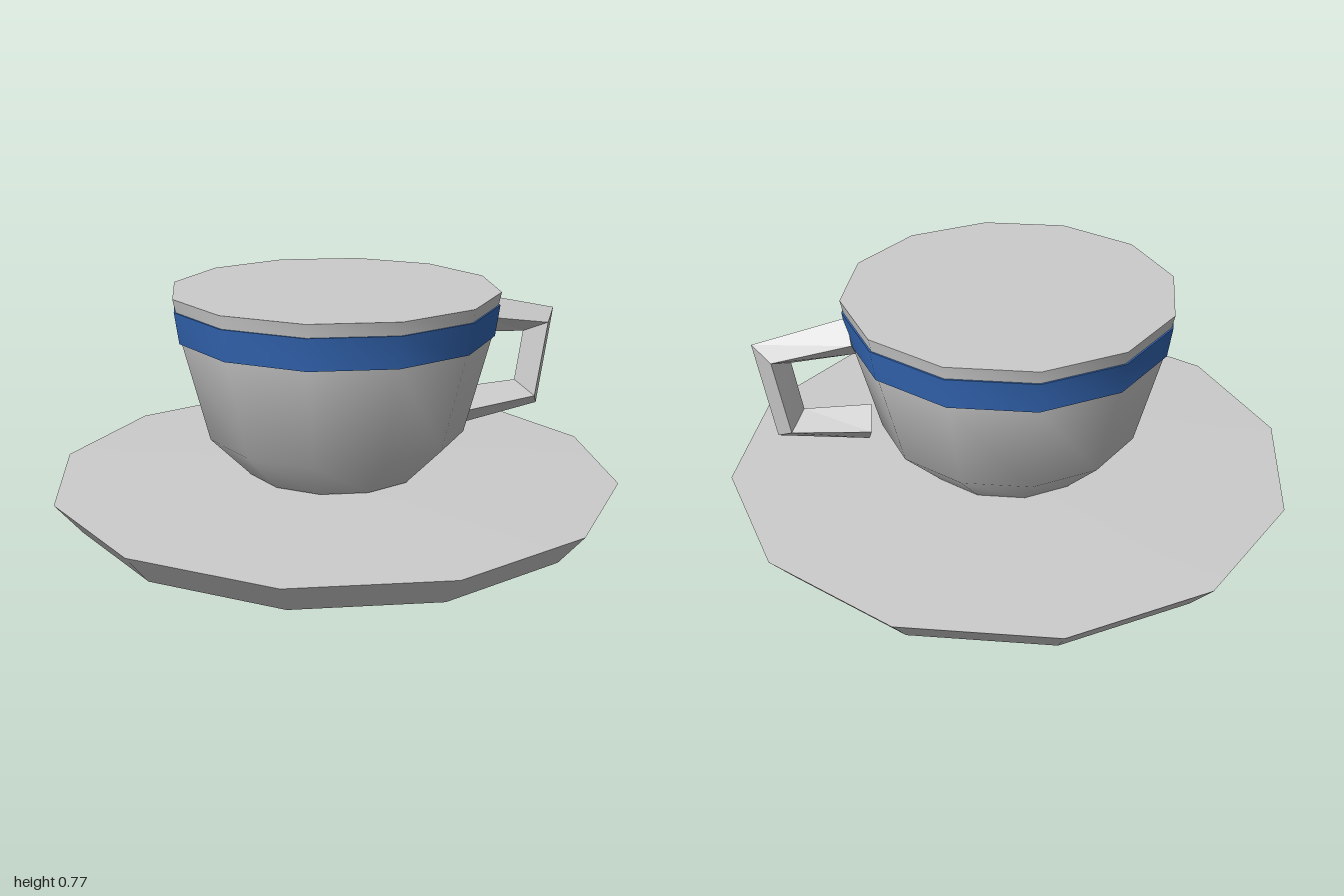
import * as THREE from 'three';
import { toCreasedNormals } from 'three/addons/utils/BufferGeometryUtils.js';

const china = new THREE.MeshStandardMaterial({ color: 0xcccccc });
const chinaFlat = new THREE.MeshStandardMaterial({ color: 0xcccccc, flatShading: true });
const blue = new THREE.MeshStandardMaterial({ color: 0x3366b3 });

// Twelve-sided turned part, profile listed from bottom to top
function turned(name, profile, material) {
  const points = profile.map(([r, y]) => new THREE.Vector2(r, y));
  const geometry = toCreasedNormals(new THREE.LatheGeometry(points, 12), 0.7);
  const mesh = new THREE.Mesh(geometry, material);
  mesh.name = name;
  return mesh;
}

// Diamond-section bar swept through stations of outer ridge, side edges and inner ridge
function diamondBar(stations, halfWidth) {
  const positions = [];
  const index = [];
  for (const [outer, side, inner] of stations) {
    positions.push(...outer, 0, ...side, halfWidth, ...inner, 0, ...side, -halfWidth);
  }
  for (let i = 0; i < stations.length - 1; i++) {
    for (let j = 0; j < 4; j++) {
      const a = i * 4 + j;
      const b = i * 4 + (j + 1) % 4;
      index.push(a, b, b + 4, a, b + 4, a + 4);
    }
  }
  const e = (stations.length - 1) * 4;
  index.push(0, 2, 1, 0, 3, 2, e, e + 1, e + 2, e, e + 2, e + 3);
  const geometry = new THREE.BufferGeometry();
  geometry.setAttribute('position', new THREE.Float32BufferAttribute(positions, 3));
  geometry.setIndex(index);
  geometry.computeVertexNormals();
  return geometry;
}

export function createModel() {
  const group = new THREE.Group();
  group.name = 'cupAndSaucer';

  // Saucer with a flared edge and a slightly raised middle
  group.add(turned('saucer', [[0, 0], [0.91, 0], [1, 0.11], [0.32, 0.127], [0, 0.127]], china));

  // Cup, closed across the rim
  group.add(turned('cup', [
    [0, 0.13], [0.315, 0.13], [0.457, 0.275], [0.545, 0.62],
    [0.563, 0.73], [0.572, 0.775], [0, 0.775],
  ], china));

  // Painted band standing slightly proud of the cup
  group.add(turned('band', [[0.54, 0.622], [0.554, 0.622], [0.569, 0.73], [0.56, 0.73]], blue));

  // Handle on the +x side, from the top end round to the bottom end
  const handle = new THREE.Mesh(diamondBar([
    [[0.555, 0.71], [0.545, 0.64], [0.53, 0.57]],
    [[0.875, 0.635], [0.813, 0.597], [0.75, 0.555]],
    [[0.82, 0.27], [0.77, 0.32], [0.722, 0.37]],
    [[0.505, 0.225], [0.498, 0.295], [0.49, 0.365]],
  ], 0.072), chinaFlat);
  handle.name = 'handle';
  group.add(handle);

  return group;
}
